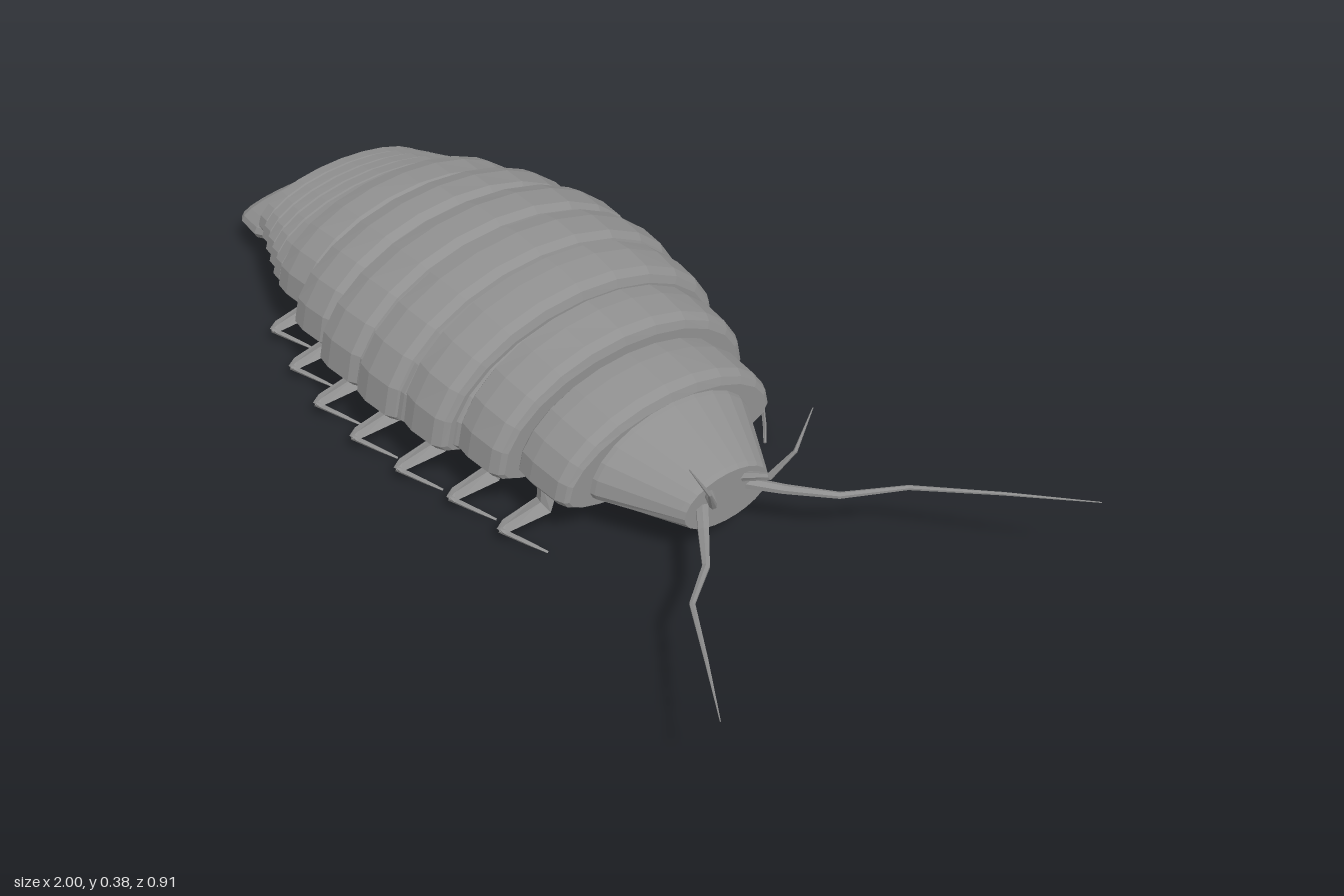
import * as THREE from 'three';

// Skin a list of point rings into a capped, flat-shaded solid
function loft(rings) {
  const n = rings[0].length;
  const pos = [];
  const tri = (...pts) => pts.forEach((p) => pos.push(p.x, p.y, p.z));
  const centre = (ring) =>
    ring.reduce((sum, p) => sum.add(p), new THREE.Vector3()).divideScalar(n);
  const first = rings[0], last = rings[rings.length - 1];
  const c0 = centre(first), c1 = centre(last);
  for (let j = 0; j < n; j++) {
    const k = (j + 1) % n;
    for (let r = 0; r < rings.length - 1; r++) {
      const a = rings[r], b = rings[r + 1];
      tri(a[j], b[j], b[k]);
      tri(a[j], b[k], a[k]);
    }
    tri(c0, first[j], first[k]);
    tri(c1, last[k], last[j]);
  }
  const g = new THREE.BufferGeometry();
  g.setAttribute('position', new THREE.Float32BufferAttribute(pos, 3));
  g.computeVertexNormals();
  return g;
}

// Body cross-section: tall half ellipse above the mid line, shallow one below
function bodyRing(x, w, top, mid = 0.132, bottom = 0.077) {
  const ring = [];
  for (let i = 0; i < 24; i++) {
    const a = (i / 24) * Math.PI * 2, s = Math.sin(a);
    ring.push(new THREE.Vector3(x, mid + s * (s > 0 ? top - mid : mid - bottom), Math.cos(a) * w));
  }
  return ring;
}

// Tapered limb through points [x, y, z, halfWidth, halfThickness]
function limb(points, ref, sides) {
  const pts = points.map((p) => new THREE.Vector3(p[0], p[1], p[2]));
  return loft(pts.map((p, i) => {
    const d = pts[Math.min(i + 1, pts.length - 1)].clone().sub(pts[Math.max(i - 1, 0)]).normalize();
    const u = ref.clone().addScaledVector(d, -ref.dot(d)).normalize();
    const v = u.clone().cross(d);
    return Array.from({ length: sides }, (_, j) => {
      const a = (j / sides) * Math.PI * 2;
      return p.clone()
        .addScaledVector(u, Math.cos(a) * points[i][3])
        .addScaledVector(v, Math.sin(a) * points[i][4]);
    });
  }));
}

export function createModel() {
  const model = new THREE.Group();
  model.name = 'isopod';
  const shell = new THREE.MeshStandardMaterial({ color: 0x909090 });
  shell.name = 'grey shell';
  shell.flatShading = true;
  const add = (name, geometry) => {
    const mesh = new THREE.Mesh(geometry, shell);
    mesh.name = name;
    model.add(mesh);
  };

  // Core that closes the grooves between the plates
  add('core', loft([
    bodyRing(-0.87, 0.2, 0.2), bodyRing(-0.64, 0.27, 0.27), bodyRing(-0.5, 0.31, 0.315),
    bodyRing(-0.24, 0.365, 0.36), bodyRing(-0.09, 0.36, 0.36), bodyRing(0.04, 0.32, 0.33),
    bodyRing(0.17, 0.25, 0.28), bodyRing(0.31, 0.2, 0.255),
  ]));

  // Large back plates: rear x, front x, half width, top at rear, top at front
  const plates = [
    [-0.648, -0.515, 0.312, 0.308, 0.322],
    [-0.515, -0.383, 0.354, 0.343, 0.356],
    [-0.375, -0.235, 0.381, 0.368, 0.38],
    [-0.235, -0.098, 0.382, 0.38, 0.382],
    [-0.1, 0.035, 0.362, 0.377, 0.368],
    [0.035, 0.172, 0.321, 0.348, 0.338],
    [0.165, 0.315, 0.268, 0.296, 0.288],
  ];
  plates.forEach(([x0, x1, w, t0, t1]) => {
    add('backPlate', loft([
      bodyRing(x0, w * 0.95, t0 - 0.02),
      bodyRing(x0 + 0.012, w * 0.985, t0 - 0.003),
      bodyRing(x0 + 0.05, w, (t0 + t1) / 2 + 0.002),
      bodyRing(x1 - 0.025, w * 0.985, t1 - 0.002),
      bodyRing(x1 - 0.006, w * 0.955, t1 - 0.012),
      bodyRing(x1, w * 0.92, t1 - 0.03),
    ]));
  });

  // Narrow tail rings
  for (let i = 0; i < 5; i++) {
    const x = -0.868 + i * 0.045, w = 0.222 + i * 0.018, t = 0.222 + i * 0.013;
    add('tailRing', loft([
      bodyRing(x, w * 0.96, t - 0.012),
      bodyRing(x + 0.008, w, t),
      bodyRing(x + 0.036, w * 1.01, t + 0.004),
      bodyRing(x + 0.046, w * 0.96, t - 0.01),
    ]));
  }

  // Tail fan
  add('tailFan', loft([
    bodyRing(-1, 0.188, 0.106, 0.068, 0.03),
    bodyRing(-0.975, 0.202, 0.12, 0.075, 0.03),
    bodyRing(-0.9, 0.214, 0.136, 0.085, 0.035),
    bodyRing(-0.872, 0.205, 0.143, 0.09, 0.042),
    bodyRing(-0.862, 0.185, 0.138, 0.09, 0.05),
  ]));

  // Head
  add('head', loft([
    bodyRing(0.29, 0.205, 0.265), bodyRing(0.325, 0.195, 0.255),
    bodyRing(0.475, 0.11, 0.2), bodyRing(0.485, 0.104, 0.194),
  ]));

  // Legs and antennae, mirrored across z
  const X = new THREE.Vector3(1, 0, 0), Y = new THREE.Vector3(0, 1, 0), Z = new THREE.Vector3(0, 0, 1);
  const knees = [0.342, 0.38, 0.406, 0.406, 0.39, 0.358, 0.335];
  [1, -1].forEach((s) => {
    knees.forEach((k, i) => {
      const x = -0.6 + i * 0.138;
      add('leg', limb([
        [x - 0.005, 0.115, s * (k - 0.105), 0.032, 0.016],
        [x + 0.002, 0.07, s * (k - 0.09), 0.026, 0.012],
        [x - 0.018, 0.042, s * (k - 0.015), 0.018, 0.004],
        [x - 0.016, 0.036, s * k, 0.012, 0.004],
      ], X, 4));
      add('foot', limb([
        [x - 0.02, 0.037, s * k, 0.008, 0.004],
        [x + 0.03, 0.018, s * (k - 0.035), 0.006, 0.004],
        [x + 0.058, 0.004, s * (k - 0.058), 0.003, 0.003],
      ], Y, 4));
    });

    add('longAntenna', limb([
      [0.47, 0.138, s * 0.05, 0.011, 0.014], [0.535, 0.138, s * 0.1, 0.008, 0.012],
      [0.62, 0.146, s * 0.165, 0.006, 0.008], [0.7, 0.168, s * 0.265, 0.004, 0.006],
      [0.85, 0.205, s * 0.36, 0.003, 0.004], [1, 0.236, s * 0.456, 0.001, 0.001],
    ], Y, 6));
    add('shortAntenna', limb([
      [0.47, 0.16, s * 0.035, 0.011, 0.011], [0.525, 0.178, s * 0.07, 0.008, 0.008],
      [0.553, 0.24, s * 0.105, 0.004, 0.004], [0.545, 0.318, s * 0.15, 0.001, 0.001],
    ], Z, 6));
  });

  return model;
}
